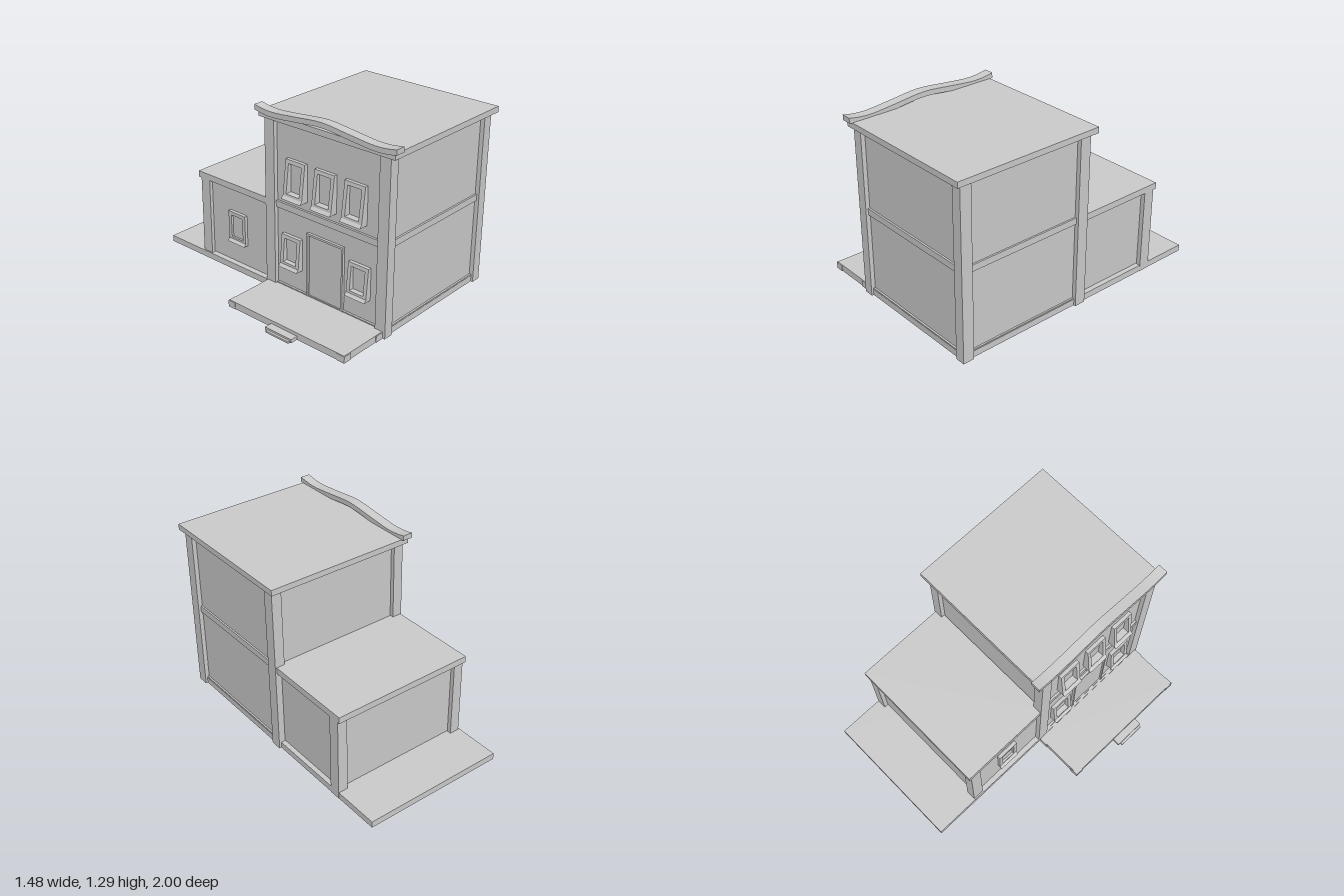
import * as THREE from 'three';

const material = new THREE.MeshStandardMaterial({ color: 0xcccccc, flatShading: true, side: THREE.DoubleSide });

export function createModel() {
  const model = new THREE.Group();

  const add = (name, geometry, parent = model) => {
    const mesh = new THREE.Mesh(geometry, material);
    mesh.name = name;
    parent.add(mesh);
    return mesh;
  };

  // Box given by its limits on each axis; open removes the underside
  const box = (name, [x0, x1], [y0, y1], [z0, z1], open = false, parent = model) => {
    const g = new THREE.BoxGeometry(x1 - x0, y1 - y0, z1 - z0);
    if (open) {
      const index = Array.from(g.index.array);
      index.splice(18, 6);
      g.setIndex(index);
      g.clearGroups();
    }
    g.translate((x0 + x1) / 2, (y0 + y1) / 2, (z0 + z1) / 2);
    return add(name, g, parent);
  };

  // Profile of [x, y] points, extruded along z
  const extrudeZ = (name, points, z0, z1, parent = model) => {
    const shape = new THREE.Shape(points.map(([x, y]) => new THREE.Vector2(x, y)));
    const g = new THREE.ExtrudeGeometry(shape, { depth: z1 - z0, bevelEnabled: false });
    g.translate(0, 0, z0);
    return add(name, g, parent);
  };

  // Hollow ground slab
  box('baseSlab', [-0.31, 0.70], [0, 0.045], [-1, 0.93], true);

  // Main two-storey block and its lower wing
  box('mainWalls', [-0.28, 0.685], [0.05, 1.2], [-0.025, 0.915]);
  box('mainRoof', [-0.32, 0.74], [1.2, 1.24], [-0.095, 0.98]);
  box('wingWalls', [-0.275, 0.67], [0.05, 0.6], [-0.645, -0.02]);
  box('wingRoof', [-0.305, 0.705], [0.6, 0.645], [-0.695, -0.03]);

  // Corner pillars
  for (const x of [-0.31, 0.645])
    for (const z of [-0.055, 0.865])
      box('mainPillar', [x, x + 0.07], [0, 1.2], [z, z + 0.08], true);
  for (const x of [-0.3, 0.632])
    box('wingPillar', [x, x + 0.07], [0, 0.6], [-0.675, -0.595], true);

  // Trim bands at floor level and between the storeys
  for (const [y0, y1] of [[0.045, 0.052], [0.6, 0.645]]) {
    box('frontBand', [-0.25, 0.66], [y0, y1], [0.91, 0.928]);
    box('leftBand', [0.68, 0.697], [y0, y1], [0.02, 0.87]);
    box('rightBand', [-0.295, -0.275], [y0, y1], [0.02, 0.87]);
  }

  // Window frame that leans out of the wall towards its flared sill
  const addWindow = (wallX, tipX, y0, y1, z0, z1) => {
    const win = new THREE.Group();
    win.name = 'window';
    model.add(win);
    const f = 0.026;
    const outTop = wallX - 0.024;
    const outLow = tipX + 0.017;
    const outAt = y => outLow + (outTop - outLow) * (y - y0 - 0.02) / (y1 - y0 - 0.02);
    const jamb = [[wallX, y0], [tipX, y0], [outLow, y0 + 0.02], [outTop, y1], [wallX, y1]];
    for (const z of [z0, z1 - f]) extrudeZ('windowJamb', jamb, z, z + f, win);
    extrudeZ('windowSill', [[wallX, y0], [tipX, y0], [outLow, y0 + 0.02],
      [outAt(y0 + 0.035), y0 + 0.035], [wallX, y0 + 0.035]], z0 + f, z1 - f, win);
    extrudeZ('windowHead', [[wallX, y1 - f], [outAt(y1 - f), y1 - f],
      [outTop, y1], [wallX, y1]], z0 + f, z1 - f, win);
    box('windowPane', [wallX - 0.006, wallX + 0.01], [y0 + 0.03, y1 - f], [z0 + f, z1 - f], false, win);
  };
  for (const z of [0.12, 0.36, 0.6]) addWindow(-0.28, -0.35, 0.705, 0.965, z, z + 0.16);
  for (const z of [0.08, 0.64]) addWindow(-0.28, -0.34, 0.205, 0.43, z, z + 0.16);
  addWindow(-0.275, -0.312, 0.205, 0.43, -0.42, -0.265);

  // Door with a thin surround
  box('doorPanel', [-0.286, -0.27], [0.045, 0.485], [0.3, 0.58]);
  for (const z of [0.29, 0.577]) box('doorJamb', [-0.298, -0.27], [0.045, 0.5], [z, z + 0.013]);
  box('doorHead', [-0.298, -0.27], [0.485, 0.5], [0.303, 0.577]);

  // Porch with corner blocks and steps
  box('porch', [-0.672, -0.312], [0, 0.048], [-0.04, 0.925], true);
  for (const x of [-0.676, -0.375])
    for (const z of [-0.045, 0.87])
      box('porchBlock', [x, x + 0.06], [0, 0.046], [z, z + 0.06], true);
  box('upperStep', [-0.725, -0.672], [0, 0.025], [0.33, 0.55]);
  box('lowerStep', [-0.742, -0.725], [0, 0.012], [0.35, 0.54]);

  // Wavy crest along the right edge of the roof
  const wave = new THREE.SplineCurve([
    [-0.115, 1.276], [-0.04, 1.263], [0.06, 1.26], [0.23, 1.276], [0.44, 1.295],
    [0.65, 1.276], [0.82, 1.26], [0.92, 1.263], [1.0, 1.276],
  ].map(([z, y]) => new THREE.Vector2(z, y))).getPoints(32);
  const lower = wave.map(p => new THREE.Vector2(p.x, p.y - 0.035)).reverse();
  const crest = new THREE.ExtrudeGeometry(new THREE.Shape([...wave, ...lower]), { depth: 0.07, bevelEnabled: false });
  crest.rotateY(-Math.PI / 2);
  crest.translate(-0.265, 0, 0);
  add('roofCrest', crest);

  return model;
}
